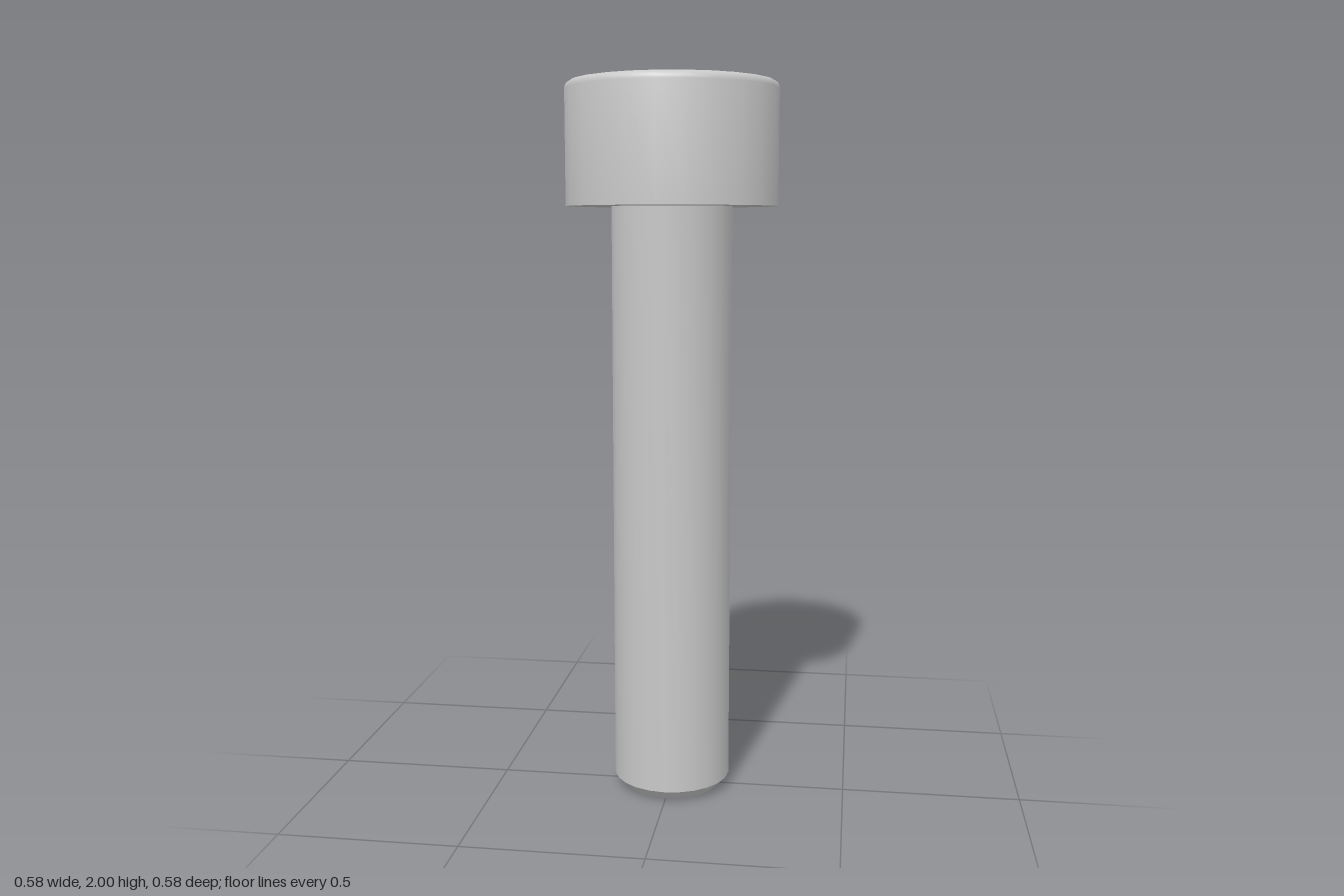
import * as THREE from 'three';
import { toCreasedNormals } from 'three/addons/utils/BufferGeometryUtils.js';

const SIDES = 24;
const HEAD_R = 0.2917, SHAFT_R = 0.1667, HEAD_Y = 1.667, TOP = 2;
const FILLET = 0.022, CHAMFER = 0.034;
const HEX_R = 0.1443, HEX_DEPTH = 0.167, CONE_DEPTH = 0.08;

// Surface of revolution with smooth rounds and sharp corners
function turned(points, sides = SIDES) {
  const profile = points.map(([r, y]) => new THREE.Vector2(r, y));
  return toCreasedNormals(new THREE.LatheGeometry(profile, sides), 0.6);
}

// Corners of a regular polygon, the first one on the +y axis
function polygon(r, n) {
  return Array.from({ length: n }, (_, i) => {
    const a = Math.PI / 2 + (i / n) * Math.PI * 2;
    return new THREE.Vector2(r * Math.cos(a), r * Math.sin(a));
  });
}

export function createModel() {
  const group = new THREE.Group();
  const steel = new THREE.MeshStandardMaterial({ color: 0xc8c8c8 });
  steel.name = 'steel';

  const add = (name, geometry, y = 0) => {
    const mesh = new THREE.Mesh(geometry, steel);
    mesh.name = name;
    mesh.position.y = y;
    group.add(mesh);
  };

  // Shaft with a chamfered tip
  add('shaft', turned([
    [0, 0], [SHAFT_R - CHAMFER, 0], [SHAFT_R, CHAMFER], [SHAFT_R, HEAD_Y],
  ]));

  // Head: flat underside, straight side and rounded upper edge
  const head = [[SHAFT_R, HEAD_Y], [HEAD_R, HEAD_Y]];
  for (let i = 0; i <= 4; i++) {
    const a = (i / 4) * Math.PI / 2;
    head.push([HEAD_R - FILLET + FILLET * Math.cos(a), TOP - FILLET + FILLET * Math.sin(a)]);
  }
  add('head', turned(head));

  // Top face with the hexagonal opening
  const face = new THREE.Shape(polygon(HEAD_R - FILLET, SIDES));
  face.holes.push(new THREE.Path(polygon(HEX_R, 6)));
  add('headTop', new THREE.ShapeGeometry(face).rotateX(-Math.PI / 2), TOP);

  // Socket walls: an open hexagonal tube, its faces pointing inward
  const tube = new THREE.CylinderGeometry(HEX_R, HEX_R, HEX_DEPTH, 6, 1, true);
  const walls = tube.scale(-1, 1, 1).toNonIndexed();
  walls.computeVertexNormals();
  add('socketWalls', walls, TOP - HEX_DEPTH / 2);

  // Conical socket floor
  const floor = new THREE.LatheGeometry(
    [new THREE.Vector2(HEX_R, 0), new THREE.Vector2(0, -CONE_DEPTH)], 6);
  add('socketFloor', floor, TOP - HEX_DEPTH);

  return group;
}
